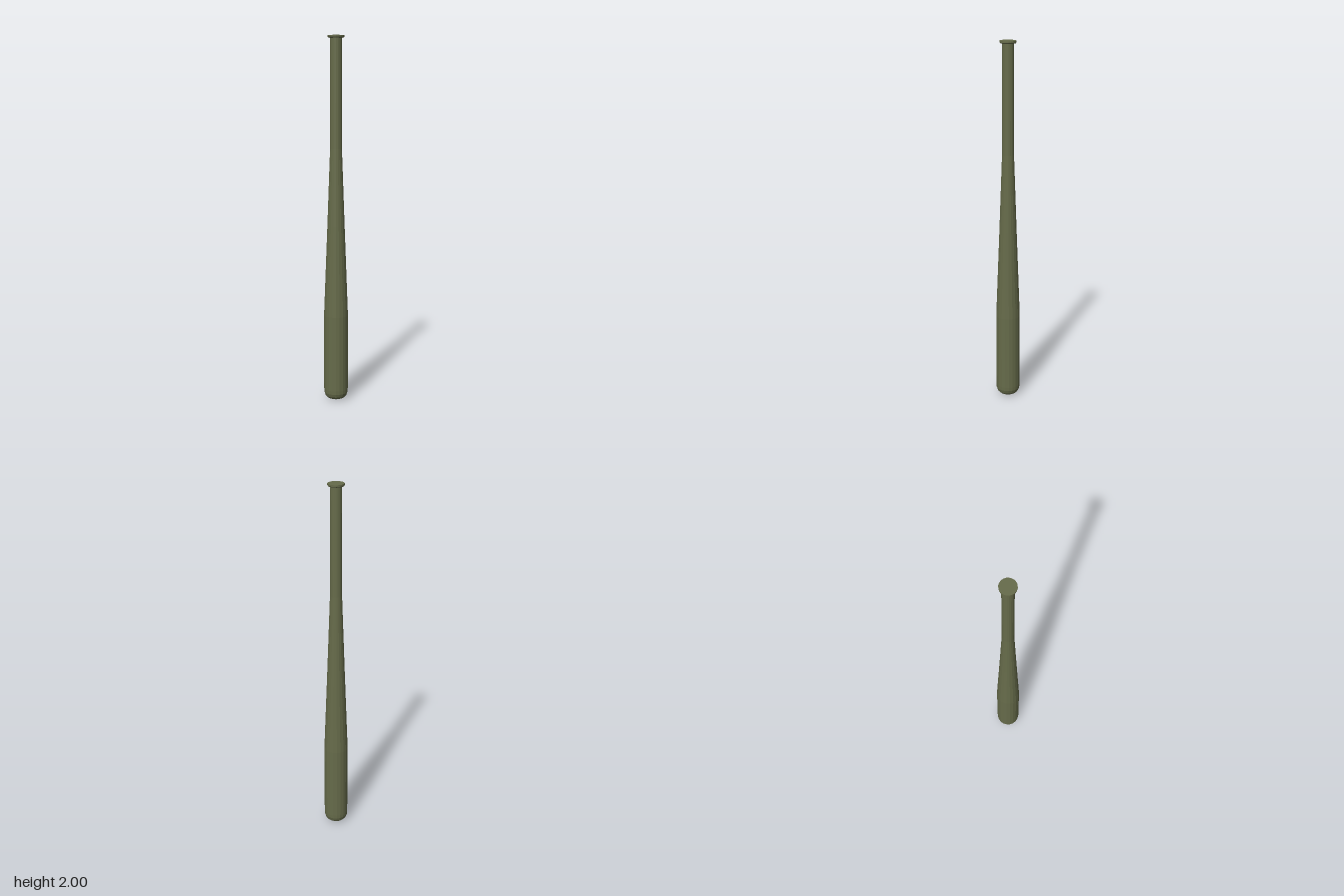
import * as THREE from 'three';

const SIDES = 20;

// Turns a [radius, height] profile, listed from bottom to top, around y
function turned(name, profile, material) {
  const points = profile.map(([r, y]) => new THREE.Vector2(r, y));
  const mesh = new THREE.Mesh(new THREE.LatheGeometry(points, SIDES), material);
  mesh.name = name;
  return mesh;
}

export function createModel() {
  const group = new THREE.Group();
  group.name = 'bat';
  const wood = new THREE.MeshStandardMaterial({ color: 0x666b4a, flatShading: true });

  // Barrel with a rounded lower end
  group.add(turned('barrel', [
    [0, 0], [0.03, 0.003], [0.047, 0.01], [0.059, 0.022], [0.065, 0.04], [0.066, 0.06], [0.066, 0.48],
  ], wood));

  // Long taper from the barrel to the grip
  group.add(turned('taper', [[0.066, 0.48], [0.047, 0.98], [0.032, 1.4]], wood));

  // Straight grip
  group.add(turned('handle', [[0.032, 1.4], [0.031, 1.985]], wood));

  // Thin flat knob closing the grip
  group.add(turned('knob', [[0.031, 1.985], [0.041, 1.987], [0.044, 1.991], [0.044, 2], [0, 2]], wood));

  return group;
}
